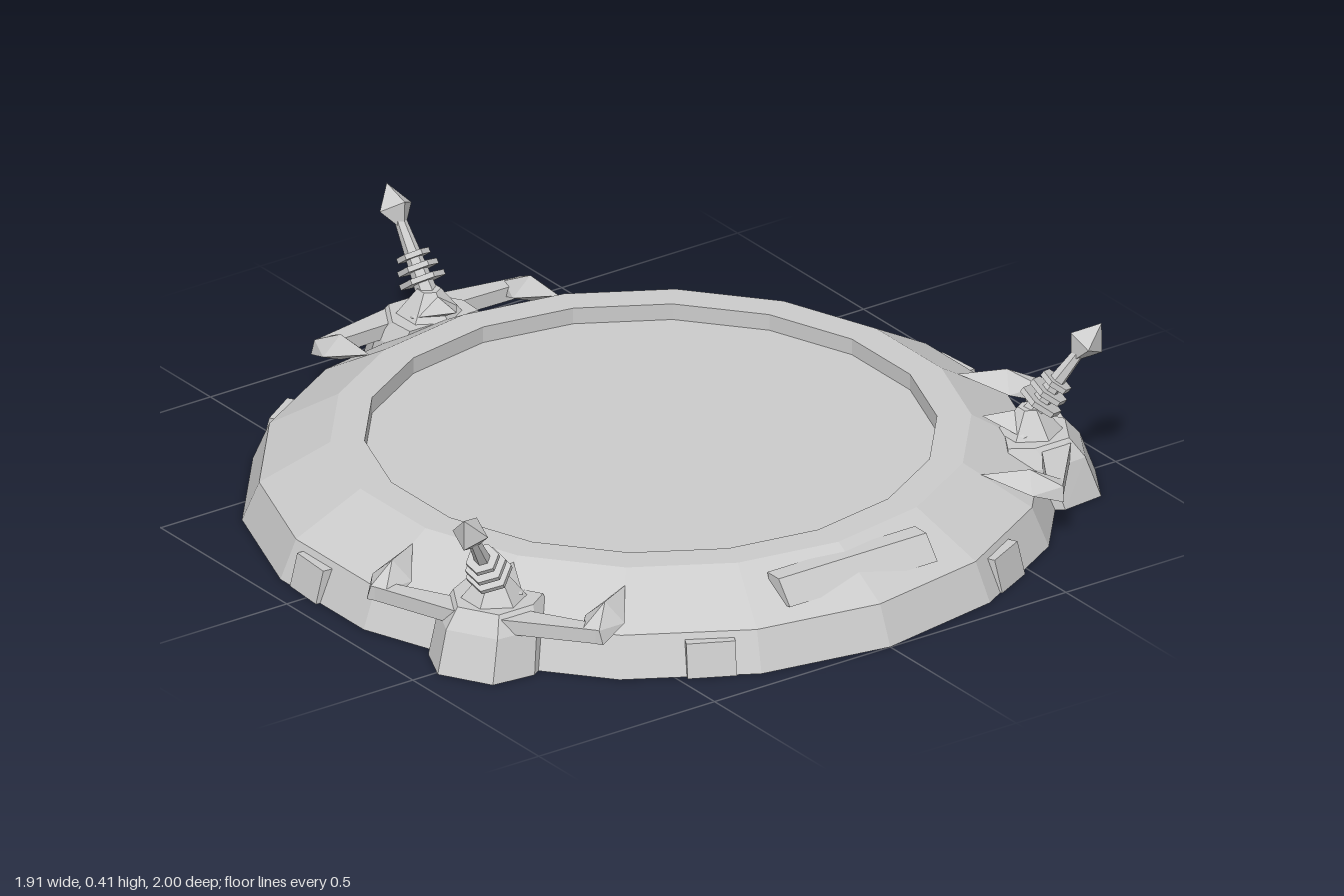
import * as THREE from 'three';
import { ConvexGeometry } from 'three/addons/geometries/ConvexGeometry.js';

const mat = new THREE.MeshStandardMaterial({ color: 0xcccccc, flatShading: true, side: THREE.DoubleSide });

function add(parent, name, geometry, x = 0, y = 0, z = 0) {
  const mesh = new THREE.Mesh(geometry, mat);
  mesh.name = name;
  mesh.position.set(x, y, z);
  parent.add(mesh);
  return mesh;
}

const hull = (pts) => new ConvexGeometry(pts.map((p) => new THREE.Vector3(...p)));
const lathe = (pts, sides) => new THREE.LatheGeometry(pts.map((p) => new THREE.Vector2(...p)), sides);

// Faceted spike lying on the slope: outer end, ridge, wide middle, inner tip
function spike(x, w, yOut, yTip, zOut, zTip) {
  const zm = zOut + (zTip - zOut) * 0.4;
  const ym = yOut + (yTip - yOut) * 0.4;
  return hull([
    [x - w * 0.3, yOut - 0.02, zOut], [x + w * 0.3, yOut - 0.02, zOut],
    [x - w * 0.2, yOut + 0.015, zOut], [x + w * 0.2, yOut + 0.015, zOut],
    [x - w / 2, ym - 0.01, zm], [x + w / 2, ym - 0.01, zm],
    [x, ym + 0.035, zm], [x, ym - 0.03, zm],
    [x, yTip, zTip],
  ]);
}

// One clamp; local +z points outward from the dish
function createClamp() {
  const clamp = new THREE.Group();
  clamp.name = 'clamp';

  // Tapered half-hexagon housing
  const ring = (y, k, out) => [
    [-0.13 * k, y, 0.82], [0.13 * k, y, 0.82], [-0.135 * k, y, 0.95 * out],
    [0.135 * k, y, 0.95 * out], [-0.07 * k, y, 1.04 * out], [0.07 * k, y, 1.04 * out],
  ];
  add(clamp, 'housing', hull([...ring(0, 1, 1), ...ring(0.1, 0.93, 0.965), ...ring(0.145, 0.75, 0.93)]));
  add(clamp, 'innerSpike', spike(0, 0.13, 0.15, 0.185, 0.92, 0.77));

  // Side arms with claws gripping the dish
  for (const s of [-1, 1]) {
    const bar = [];
    for (const y of [0.1, 0.135]) {
      bar.push([s * 0.06, y, 0.9], [s * 0.06, y, 0.97], [s * 0.28, y, 0.895], [s * 0.28, y, 0.93]);
    }
    add(clamp, 'arm', hull(bar));
    add(clamp, 'claw', spike(s * 0.27, 0.1, 0.12, 0.165, 0.93, 0.74));
  }

  // Leaning post with collars and a crystal finial
  add(clamp, 'postBase', new THREE.CylinderGeometry(0.028, 0.085, 0.07, 6), 0, 0.17, 0.88);
  const post = new THREE.Group();
  post.name = 'post';
  post.position.set(0, 0.16, 0.865);
  post.rotation.x = 0.63;
  clamp.add(post);
  add(post, 'shaft', new THREE.CylinderGeometry(0.014, 0.028, 0.22, 6), 0, 0.11, 0);
  [0.055, 0.049, 0.04].forEach((r, i) =>
    add(post, 'collar', new THREE.CylinderGeometry(r, r, 0.013, 6), 0, 0.07 + i * 0.03, 0));
  add(post, 'finial', new THREE.OctahedronGeometry(1), 0, 0.25, 0).scale.set(0.045, 0.06, 0.045);
  return clamp;
}

export function createModel() {
  const model = new THREE.Group();
  model.name = 'platform';
  const dish = new THREE.Group();
  dish.name = 'dish';
  dish.position.z = 0.05;
  model.add(dish);

  // Sloped shell, flat rim and recessed floor; the underside is open
  add(dish, 'shell', lathe([[0.95, 0], [0.91, 0.095], [0.745, 0.19], [0.665, 0.19], [0.665, 0.15]], 18));
  add(dish, 'floor', new THREE.CircleGeometry(0.665, 18), 0, 0.15, 0).rotation.set(-Math.PI / 2, 0, Math.PI / 2);
  add(dish, 'underWall', lathe([[0.67, 0.003], [0.67, 0.148]], 12));

  // Small blocks around the lower edge
  for (const deg of [27, 94, 147]) {
    for (const s of [-1, 1]) {
      const pivot = new THREE.Group();
      pivot.name = 'edgeBlock';
      pivot.rotation.y = s * THREE.MathUtils.degToRad(deg);
      dish.add(pivot);
      const h = 0.0575;
      const pts = [];
      for (const x of [-h, h]) pts.push([x, 0, 0.88], [x, 0, 0.945], [x, 0.08, 0.925], [x, 0.08, 0.87]);
      add(pivot, 'block', hull(pts));
    }
  }

  // Raised panel on the front slope
  const panel = [];
  for (const x of [-0.21, 0.21]) {
    panel.push([x, 0.175, 0.755], [x, 0.175, 0.8], [x, 0.12, 0.845], [x, 0.11, 0.78]);
  }
  add(dish, 'frontPanel', hull(panel));

  // Three clamps, evenly spaced
  for (const deg of [60, 180, 300]) {
    const clamp = createClamp();
    clamp.rotation.y = THREE.MathUtils.degToRad(deg);
    dish.add(clamp);
  }
  return model;
}
